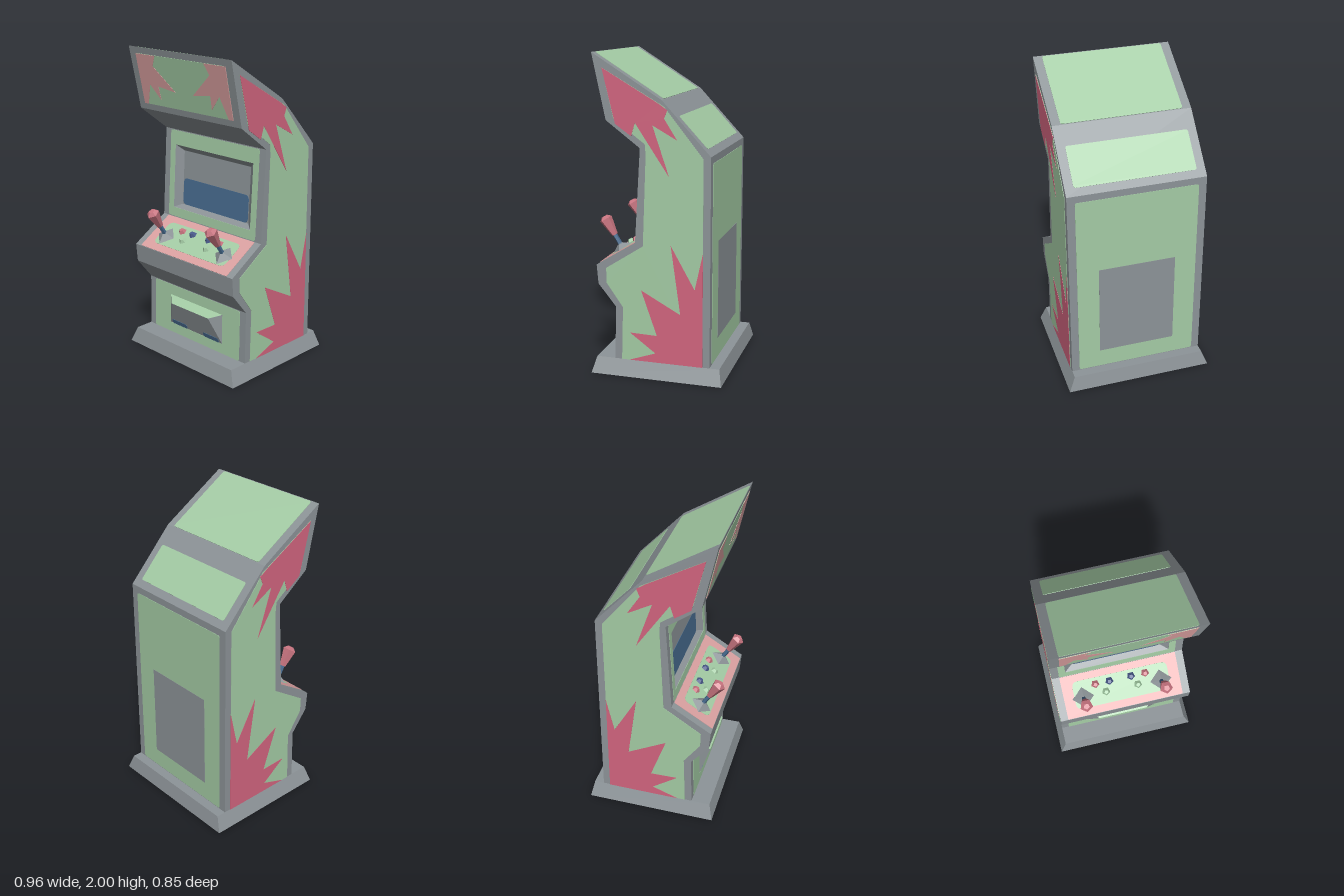
import * as THREE from 'three';

const material = (name, color) => {
  const m = new THREE.MeshStandardMaterial({ color, flatShading: true, side: THREE.DoubleSide });
  m.name = name;
  return m;
};

const W = 0.44; // half width of the cabinet

// Cabinet outline as [z, y], from the front bottom up, over the roof and down the back
const profile = [
  [0.265, 0.1], [0.257, 0.44], [0.37, 0.58], [0.38, 0.7], [0.128, 0.855], [0.092, 1.44],
  [0.305, 1.6], [0.39, 2], [-0.045, 1.728], [-0.345, 1.405], [-0.345, 0.1],
];
const sidePanel = [
  [0.22, 0.1], [0.21, 0.44], [0.315, 0.59], [0.317, 0.685], [0.077, 0.84], [0.055, 1.4],
  [0.06, 1.465], [0.255, 1.61], [0.325, 1.91], [-0.06, 1.69], [-0.3, 1.39], [-0.3, 0.1],
];
const upperSpikes = [
  [0.325, 1.91], [-0.03, 1.705], [-0.08, 1.67], [-0.06, 1.62], [-0.14, 1.495], [0.013, 1.58],
  [-0.09, 1.275], [0.12, 1.59], [0.145, 1.51], [0.245, 1.58],
];
const lowerSpikes = [
  [0.17, 0.1], [0, 0.16], [0.165, 0.28], [-0.01, 0.275], [0.09, 0.56], [-0.16, 0.425],
  [-0.1, 0.855], [-0.25, 0.59], [-0.3, 0.82], [-0.3, 0.1],
];
const marqueeSpikes = [
  [0.385, 0.366], [0.21, 0.366], [0.245, 0.298], [0.075, 0.15], [0.225, 0.17],
  [0.22, 0.082], [0.3, 0.175], [0.35, 0.041], [0.385, 0.041],
];

const shapeOf = (pts) => new THREE.Shape(pts.map(([x, y]) => new THREE.Vector2(x, y)));
const rect = (x, y0, y1) => [[-x, y0], [x, y0], [x, y1], [-x, y1]];

function roundRect(x0, x1, y0, y1, r = 0.015) {
  const s = new THREE.Shape();
  s.moveTo(x0 + r, y0);
  s.lineTo(x1 - r, y0).quadraticCurveTo(x1, y0, x1, y0 + r);
  s.lineTo(x1, y1 - r).quadraticCurveTo(x1, y1, x1 - r, y1);
  s.lineTo(x0 + r, y1).quadraticCurveTo(x0, y1, x0, y1 - r);
  s.lineTo(x0, y0 + r).quadraticCurveTo(x0, y0, x0 + r, y0);
  return s;
}

// Thin painted plate, centred on the surface so that it shows on both sides
const plate = (shape, depth = 0.005) =>
  new THREE.ExtrudeGeometry(shape, { depth, bevelEnabled: false, curveSegments: 4 })
    .translate(0, 0, -depth / 2);

// Faces given as lists of 3 or 4 corners
function faces(list) {
  const pos = [];
  for (const f of list) {
    for (let i = 1; i < f.length - 1; i++) pos.push(...f[0], ...f[i], ...f[i + 1]);
  }
  const g = new THREE.BufferGeometry();
  g.setAttribute('position', new THREE.Float32BufferAttribute(pos, 3));
  g.computeVertexNormals();
  return g;
}

// Walls between successive rings of four corners
function walls(rings) {
  const list = [];
  for (let r = 0; r < rings.length - 1; r++) {
    for (let i = 0; i < 4; i++) {
      const j = (i + 1) % 4;
      list.push([rings[r][i], rings[r][j], rings[r + 1][j], rings[r + 1][i]]);
    }
  }
  return faces(list);
}

export function createModel() {
  const grey = material('grey', 0x8d9498);
  const green = material('green', 0xa4cca5);
  const pink = material('hot pink', 0xd2657f);
  const pale = material('pale pink', 0xdba1a1);
  const blue = material('blue', 0x486c90);
  const navy = material('navy', 0x4a5a8c);
  const rose = material('rose', 0xc87480);

  const model = new THREE.Group();
  model.name = 'arcadeCabinet';
  const add = (parent, name, geometry, mat) => {
    const m = new THREE.Mesh(geometry, mat);
    m.name = name;
    parent.add(m);
    return m;
  };

  // Flared plinth with a ledge, open underneath
  const level = (x, y, zb, zf) => [[-x, y, zf], [x, y, zf], [x, y, zb], [-x, y, zb]];
  add(model, 'plinth', walls([
    level(0.48, 0, -0.428, 0.413), level(W, 0.1, -0.407, 0.387), level(W, 0.1, -0.345, 0.265),
  ]), grey);

  // Side walls with painted panel and spikes
  const sideShape = (pts) => shapeOf(pts.map(([z, y]) => [-z, y]));
  for (const s of [1, -1]) {
    const side = new THREE.Group();
    side.name = s > 0 ? 'leftSide' : 'rightSide';
    side.position.x = s * W;
    side.rotation.y = Math.PI / 2;
    add(side, 'sideWall', new THREE.ShapeGeometry(sideShape(profile)), grey);
    add(side, 'sidePanel', plate(sideShape(sidePanel)), green);
    add(side, 'upperSpikes', plate(sideShape(upperSpikes), 0.008), pink);
    add(side, 'lowerSpikes', plate(sideShape(lowerSpikes), 0.008), pink);
    model.add(side);
  }

  // Front, roof and back strips; local x runs across, y along the strip, z outward
  const names = ['lowerFront', 'lowerOverhang', 'controlLip', 'controlPanel', 'screenFront',
    'upperOverhang', 'marquee', 'roof', 'rearSlope', 'back'];
  const openings = { lowerFront: rect(0.24, 0.065, 0.265), screenFront: rect(0.345, 0.065, 0.486) };
  const strip = {};
  names.forEach((name, i) => {
    const [z0, y0] = profile[i], [z1, y1] = profile[i + 1];
    const g = strip[name] = new THREE.Group();
    g.name = name;
    g.position.set(0, y0, z0);
    g.rotation.x = Math.atan2(z1 - z0, y1 - y0);
    const shape = shapeOf(rect(W, 0, Math.hypot(z1 - z0, y1 - y0)));
    if (openings[name]) shape.holes.push(shapeOf(openings[name]));
    add(g, name + 'Wall', new THREE.ShapeGeometry(shape), grey);
    model.add(g);
  });

  // Painted panels: strip, half width, start, end
  const panels = [
    ['lowerFront', 0.39, 0, 0.335], ['screenFront', 0.39, 0.005, 0.58], ['marquee', 0.385, 0.041, 0.367],
    ['roof', 0.385, 0.005, 0.508], ['rearSlope', 0.385, 0.132, 0.39], ['back', 0.39, 0.045, 1.3],
  ];
  for (const [name, x, a, b] of panels) {
    const shape = roundRect(-x, x, a, b);
    if (openings[name]) shape.holes.push(shapeOf(openings[name]));
    add(strip[name], name + 'Panel', plate(shape), green);
  }
  add(strip.back, 'serviceDoor', plate(shapeOf(rect(0.25, 0.545, 1.175)), 0.008), grey);
  for (const s of [1, -1]) {
    add(strip.marquee, 'marqueeSpikes', plate(shapeOf(marqueeSpikes.map(([x, y]) => [s * x, y])), 0.008), pale);
  }

  // Recessed screen
  const ring = (x, a, b, z) => rect(x, a, b).map(([u, v]) => [u, v, z]);
  add(strip.screenFront, 'bezel', walls([ring(0.345, 0.065, 0.486, 0), ring(0.295, 0.09, 0.45, -0.035)]), grey);
  add(strip.screenFront, 'screen', faces([ring(0.295, 0.09, 0.45, -0.035)]), grey);
  add(strip.screenFront, 'screenImage', plate(roundRect(-0.29, 0.29, 0.091, 0.268, 0.03)), blue)
    .position.z = -0.035;

  // Coin hood: sloping front, green top
  const [bl, br, tr, tl] = ring(0.24, 0.065, 0.265, 0);
  const rl = [-0.17, 0.235, 0.06], rr = [0.17, 0.235, 0.06];
  add(strip.lowerFront, 'coinHood', faces([[bl, br, rr, rl], [br, tr, rr], [tl, bl, rl]]), grey);
  add(strip.lowerFront, 'coinHoodTop', faces([[rl, rr, tr, tl]]), green);
  for (const s of [1, -1]) {
    const slot = add(strip.lowerFront, 'coinSlot',
      plate(roundRect(s * 0.145 - 0.07, s * 0.145 + 0.07, 0, 0.033, 0.012)), blue);
    slot.position.y = 0.066;
    slot.rotation.x = Math.atan2(0.06, 0.17);
  }

  // Control panel paint
  const deck = strip.controlPanel;
  add(deck, 'controlBorder', plate(roundRect(-0.39, 0.39, 0.003, 0.293, 0.005)), pale);
  add(deck, 'controlField', plate(roundRect(-0.32, 0.32, 0.055, 0.245, 0.04), 0.008), green);

  // Tapered prism standing on the deck between two heights
  const peg = (top, bottom, h0, h1, sides) =>
    new THREE.CylinderGeometry(top, bottom, h1 - h0, sides)
      .translate(0, (h0 + h1) / 2, 0).rotateX(Math.PI / 2);

  // Joysticks
  for (const s of [1, -1]) {
    const joystick = new THREE.Group();
    joystick.name = s > 0 ? 'leftJoystick' : 'rightJoystick';
    joystick.position.set(s * 0.262, 0.129, 0);
    add(joystick, 'joystickBoot', peg(0, 0.078, 0, 0.045, 4), grey);
    add(joystick, 'joystickStick', peg(0.015, 0.015, 0.02, 0.12, 5), blue);
    add(joystick, 'joystickKnob', peg(0.043, 0.02, 0.1, 0.215, 5), rose);
    add(joystick, 'joystickCap', peg(0.02, 0.043, 0.215, 0.235, 5), rose);
    deck.add(joystick);
  }

  // Buttons
  for (const s of [1, -1]) {
    for (const [x, y, mat] of [[0.168, 0.2, rose], [0.073, 0.2, navy], [0.108, 0.135, green]]) {
      add(deck, 'button', peg(0.014, 0.031, 0, 0.024, 5), mat).position.set(s * x, y, 0);
    }
  }
  return model;
}
